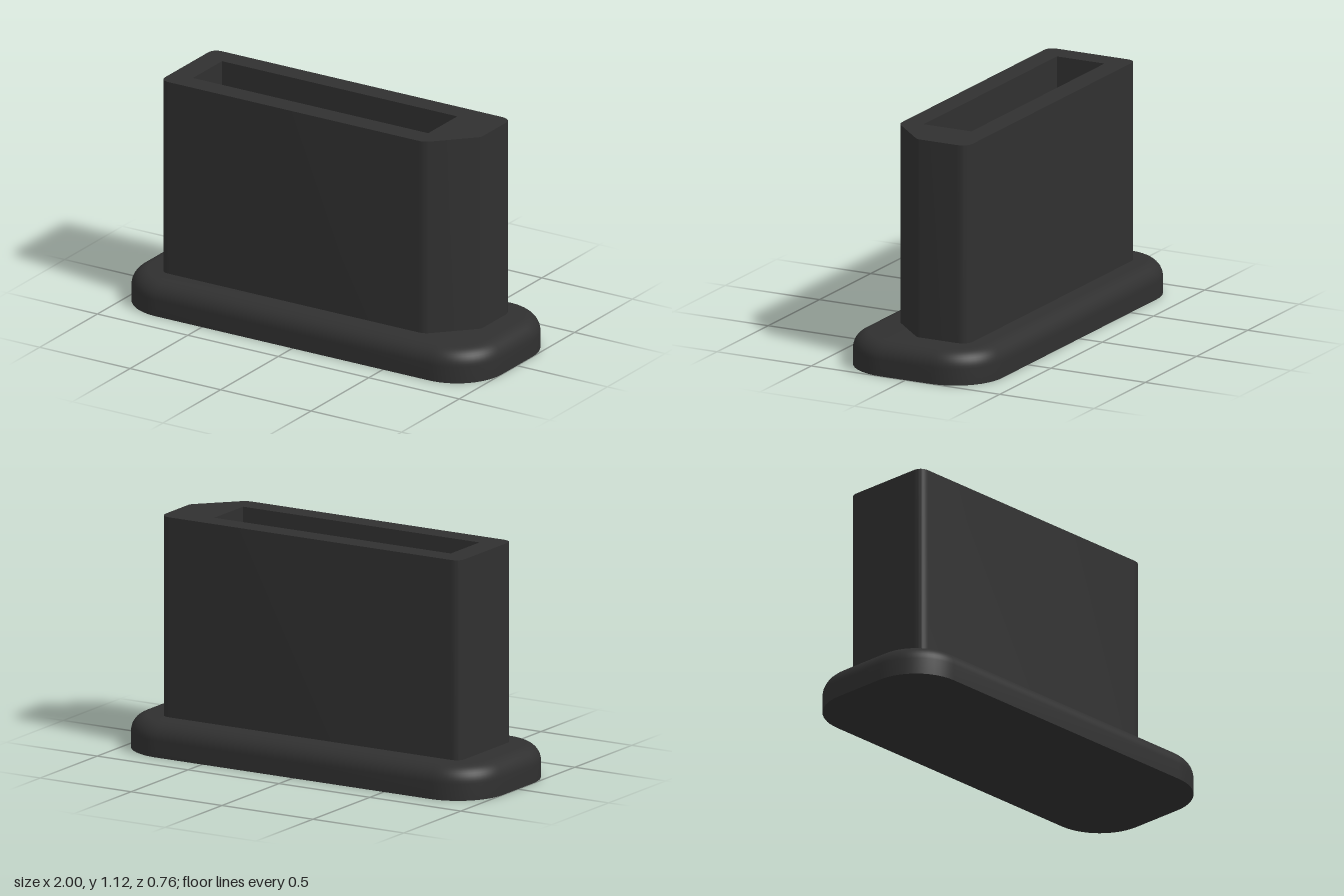
import * as THREE from 'three';
import { mergeVertices, toCreasedNormals } from 'three/addons/utils/BufferGeometryUtils.js';

const BASE_TOP = 0.16;
const TOP = 1.12;

// Points of a rounded rectangle in plan, as [x, z]
function roundedRect(halfX, halfZ, radius, steps = 14) {
  const points = [];
  const corners = [[1, 1], [-1, 1], [-1, -1], [1, -1]];
  corners.forEach(([sx, sz], i) => {
    for (let k = 0; k <= steps; k++) {
      const a = (i + k / steps) * Math.PI / 2;
      points.push([
        sx * (halfX - radius) + radius * Math.cos(a),
        sz * (halfZ - radius) + radius * Math.sin(a),
      ]);
    }
  });
  return points;
}

// Polygon with softened corners; each corner is [x, y, radius]
function softPolygon(corners) {
  const shape = new THREE.Shape();
  const n = corners.length;
  const toward = (from, to, d) => {
    const a = new THREE.Vector2(from[0], from[1]);
    const b = new THREE.Vector2(to[0], to[1]);
    return b.sub(a).setLength(d).add(a);
  };
  corners.forEach((c, i) => {
    const start = toward(c, corners[(i + n - 1) % n], c[2]);
    const end = toward(c, corners[(i + 1) % n], c[2]);
    if (i === 0) shape.moveTo(start.x, start.y);
    else shape.lineTo(start.x, start.y);
    shape.quadraticCurveTo(c[0], c[1], end.x, end.y);
  });
  shape.closePath();
  return shape;
}

// Flange: stacked outlines, upright wall and then a quarter-round top edge
function baseGeometry() {
  const round = 0.08;
  const levels = [[0, 0]];
  for (let k = 0; k <= 10; k++) {
    const a = (k / 10) * Math.PI / 2;
    levels.push([BASE_TOP - round + round * Math.sin(a), round * (1 - Math.cos(a))]);
  }
  const positions = [];
  const index = [];
  let n = 0;
  for (const [y, inset] of levels) {
    const ring = roundedRect(1 - inset, 0.378 - inset, 0.245 - inset);
    n = ring.length;
    for (const [x, z] of ring) positions.push(x, y, z);
  }
  for (let l = 0; l < levels.length - 1; l++) {
    for (let i = 0; i < n; i++) {
      const a = l * n + i;
      const b = l * n + (i + 1) % n;
      index.push(a, a + n, b, b, a + n, b + n);
    }
  }
  // Flat bottom and top
  const last = (levels.length - 1) * n;
  for (let i = 1; i < n - 1; i++) {
    index.push(0, i, i + 1);
    index.push(last, last + i + 1, last + i);
  }
  const geometry = new THREE.BufferGeometry();
  geometry.setAttribute('position', new THREE.Float32BufferAttribute(positions, 3));
  geometry.setIndex(index);
  return toCreasedNormals(mergeVertices(geometry), 0.5);
}

// Sleeve: chamfered outline with a rectangular slot, extruded upward
function sleeveGeometry() {
  const x = 0.825;
  const z = 0.232;
  const outline = softPolygon([
    [-x, -z, 0.05],
    [0.635, -z, 0.03],
    [x, -0.035, 0.015],
    [x, z, 0.06],
    [-x, z, 0.05],
  ]);
  const slot = new THREE.Path();
  slot.moveTo(-0.71, -0.126);
  slot.lineTo(-0.71, 0.126);
  slot.lineTo(0.59, 0.126);
  slot.lineTo(0.59, -0.126);
  slot.closePath();
  outline.holes.push(slot);
  const bottom = BASE_TOP - 0.01;
  const geometry = new THREE.ExtrudeGeometry(outline, {
    depth: TOP - bottom,
    bevelEnabled: false,
    curveSegments: 10,
  });
  geometry.rotateX(-Math.PI / 2);
  geometry.translate(0, bottom, 0);
  return toCreasedNormals(geometry, 0.5);
}

export function createModel() {
  const model = new THREE.Group();
  model.name = 'slottedCap';
  const charcoal = new THREE.MeshStandardMaterial({ color: 0x303030 });
  charcoal.name = 'charcoal';

  const parts = { baseFlange: baseGeometry(), slottedSleeve: sleeveGeometry() };
  for (const [name, geometry] of Object.entries(parts)) {
    const mesh = new THREE.Mesh(geometry, charcoal);
    mesh.name = name;
    model.add(mesh);
  }
  return model;
}
